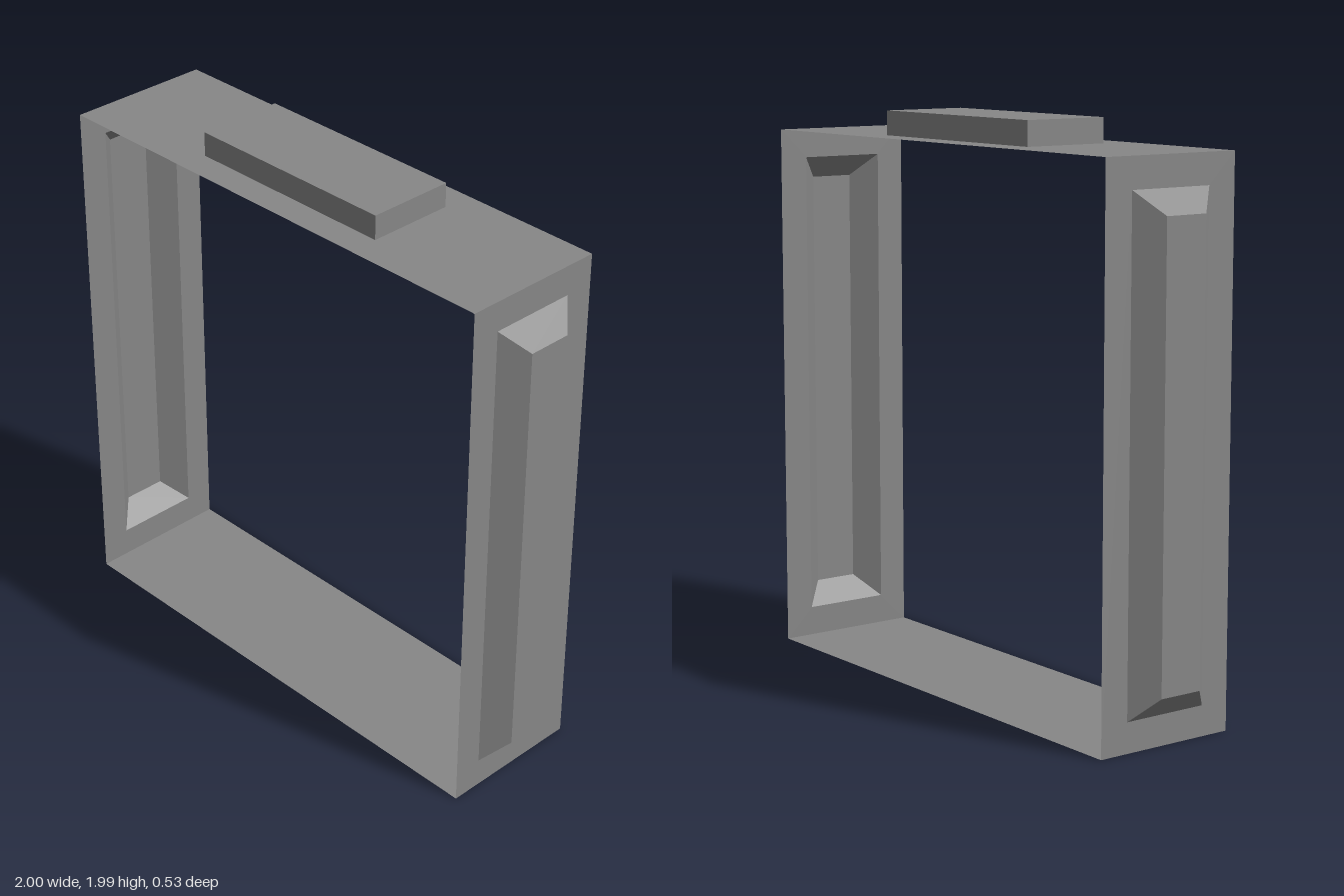
import * as THREE from 'three';

const W = 0.925, H = 1.9, D = 0.264; // half width, height, half depth of the shell

const material = new THREE.MeshStandardMaterial({
  color: 0x878787, flatShading: true, side: THREE.DoubleSide,
});

// Corners of a centred rectangle, counter-clockwise
const corners = (w, h) => [[-w, -h], [w, -h], [w, h], [-w, h]].map(([x, y]) => new THREE.Vector2(x / 2, y / 2));

// Thin plate facing +z, with an optional rectangular opening
function plate(w, h, opening) {
  const shape = new THREE.Shape(corners(w, h));
  if (opening) shape.holes.push(new THREE.Path(corners(...opening).reverse()));
  return new THREE.ShapeGeometry(shape);
}

// Hollow raised panel: four walls from the base to the tip rectangle, and a cap
function raised(base, tip, height) {
  const rings = [[base, 0], [tip, height]].map(([size, z]) => corners(...size).map((p) => [p.x, p.y, z]));
  const [b, t] = rings;
  const pos = [];
  const quad = (p, q, r, s) => pos.push(...p, ...q, ...r, ...p, ...r, ...s);
  for (let i = 0; i < 4; i++) {
    const j = (i + 1) % 4;
    quad(b[i], b[j], t[j], t[i]);
  }
  quad(...t);
  const geometry = new THREE.BufferGeometry();
  geometry.setAttribute('position', new THREE.Float32BufferAttribute(pos, 3));
  geometry.computeVertexNormals();
  return geometry;
}

function part(name, geometry) {
  const mesh = new THREE.Mesh(geometry, material);
  mesh.name = name;
  return mesh;
}

// Plate with a hollow panel pressed outward through it
function pressedPlate(name, w, h, base, tip, height) {
  const group = new THREE.Group();
  group.name = name;
  group.add(part(name + 'Plate', plate(w, h, base)), part(name + 'RaisedPanel', raised(base, tip, height)));
  return group;
}

export function createModel() {
  const model = new THREE.Group();
  model.name = 'openFrame';

  // Side walls with bevelled panels
  for (const side of [1, -1]) {
    const wall = pressedPlate(side > 0 ? 'leftWall' : 'rightWall', 2 * D, H, [0.316, 1.69], [0.16, 1.532], 0.075);
    wall.rotation.y = side * Math.PI / 2;
    wall.position.set(side * W, H / 2, 0);
    model.add(wall);
  }

  // Top with a straight-sided panel
  const top = pressedPlate('top', 2 * W, 2 * D, [0.8, 0.316], [0.8, 0.316], 0.086);
  top.rotation.x = -Math.PI / 2;
  top.position.y = H;
  model.add(top);

  // Plain bottom
  const bottom = part('bottom', plate(2 * W, 2 * D));
  bottom.rotation.x = Math.PI / 2;
  model.add(bottom);

  return model;
}
